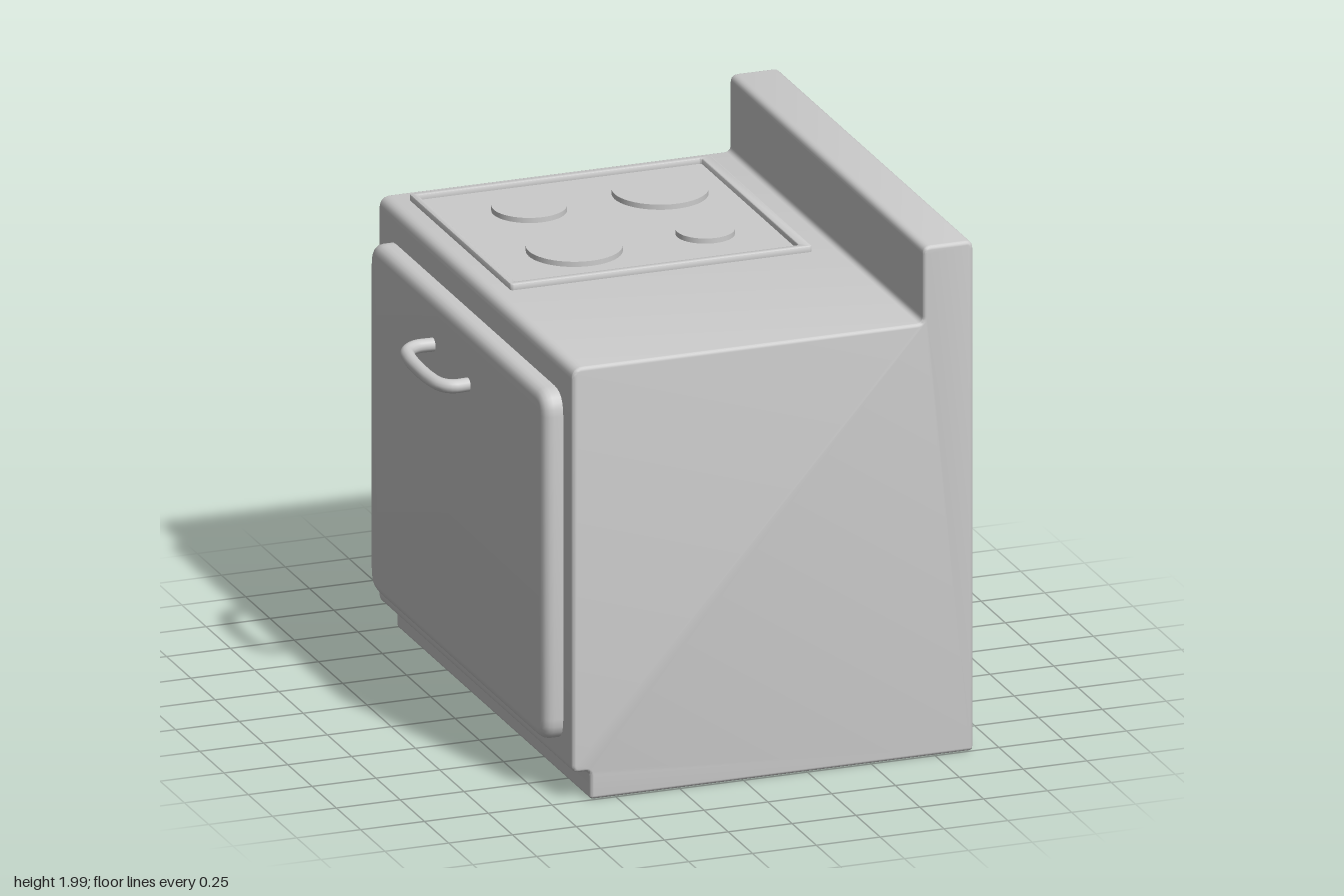
import * as THREE from 'three';
import { toCreasedNormals } from 'three/addons/utils/BufferGeometryUtils.js';

const material = new THREE.MeshStandardMaterial({ color: 0xcccccc });

function addMesh(parent, name, geometry) {
  const mesh = new THREE.Mesh(geometry, material);
  mesh.name = name;
  parent.add(mesh);
  return mesh;
}

// Closed outline whose corners [x, y, radius] are rounded off
function roundedOutline(corners, Type = THREE.Shape) {
  const outline = new Type();
  const n = corners.length;
  corners.forEach(([x, y, r], i) => {
    const p = new THREE.Vector2(x, y);
    const towards = (c) => new THREE.Vector2(c[0], c[1]).sub(p).setLength(r).add(p);
    const a = towards(corners[(i + n - 1) % n]);
    const b = towards(corners[(i + 1) % n]);
    if (i === 0) outline.moveTo(a.x, a.y);
    else outline.lineTo(a.x, a.y);
    outline.quadraticCurveTo(x, y, b.x, b.y);
  });
  outline.closePath();
  return outline;
}

function rectangle(x0, x1, y0, y1, r, Type) {
  return roundedOutline([[x0, y0, r], [x1, y0, r], [x1, y1, r], [x0, y1, r]], Type);
}

// Extrusion from z = 0 to z = depth with rounded rims inside the outline
function extrude(shape, depth, bevel) {
  const geometry = new THREE.ExtrudeGeometry(shape, {
    depth: depth - 2 * bevel, curveSegments: 6, bevelEnabled: true,
    bevelSize: bevel, bevelThickness: bevel, bevelOffset: -bevel, bevelSegments: 4,
  });
  geometry.translate(0, 0, bevel);
  return toCreasedNormals(geometry, 0.7);
}

export function createModel() {
  const stove = new THREE.Group();
  stove.name = 'stove';

  // Body: side profile with toe kick and backsplash, the oven front facing -x
  const profile = roundedOutline([
    [-0.6, 0, 0.016], [0.9, 0, 0.016], [0.9, 1.985, 0.03], [0.705, 1.985, 0.03],
    [0.705, 1.687, 0.025], [-0.67, 1.687, 0.045], [-0.67, 0.11, 0.03], [-0.6, 0.11, 0.02],
  ]);
  addMesh(stove, 'body', extrude(profile, 2, 0.014)).position.z = -1;

  // Oven door: rounded panel turned to face -x
  const door = extrude(rectangle(-0.905, 0.905, 0.2, 1.56, 0.09), 0.12, 0.04);
  door.rotateY(-Math.PI / 2);
  addMesh(stove, 'ovenDoor', door).position.x = -0.625;

  // Door handle: bowed tube with capped ends
  const handle = new THREE.Group();
  handle.name = 'doorHandle';
  stove.add(handle);
  const path = new THREE.CatmullRomCurve3([
    [-0.74, 1.374, -0.239], [-0.815, 1.374, -0.238], [-0.858, 1.372, -0.205],
    [-0.876, 1.369, -0.13], [-0.88, 1.366, -0.033], [-0.876, 1.363, 0.064],
    [-0.858, 1.36, 0.138], [-0.825, 1.359, 0.169], [-0.763, 1.359, 0.17],
  ].map((p) => new THREE.Vector3(...p)), false, 'centripetal');
  addMesh(handle, 'handleBar', new THREE.TubeGeometry(path, 48, 0.026, 14, false));
  for (const t of [0, 1]) {
    const cap = addMesh(handle, 'handleEnd', new THREE.CircleGeometry(0.026, 14));
    const end = path.getPointAt(t);
    cap.position.copy(end);
    cap.lookAt(end.clone().addScaledVector(path.getTangentAt(t), t ? 1 : -1));
  }

  // Cooktop: raised rim around a shallow tray
  const cooktop = new THREE.Group();
  cooktop.name = 'cooktop';
  stove.add(cooktop);
  const rimShape = rectangle(-0.58, 0.6, -0.13, 0.92, 0.012);
  rimShape.holes.push(rectangle(-0.555, 0.556, -0.103, 0.897, 0.012, THREE.Path));
  const rim = extrude(rimShape, 0.04, 0.005);
  rim.rotateX(-Math.PI / 2);
  addMesh(cooktop, 'cooktopRim', rim).position.y = 1.671;
  const tray = new THREE.BoxGeometry(1.13, 0.02, 1.02);
  addMesh(cooktop, 'cooktopTray', tray).position.set(0.002, 1.68, -0.397);

  // Burners: low discs of three sizes [x, z, radius]
  for (const [x, z, r] of [
    [-0.213, -0.65, 0.139], [0.3, -0.65, 0.178], [-0.213, -0.185, 0.178], [0.3, -0.185, 0.109],
  ]) {
    const disc = new THREE.CylinderGeometry(r, r, 0.03, 48);
    addMesh(cooktop, 'burner', disc).position.set(x, 1.695, z);
  }

  return stove;
}
